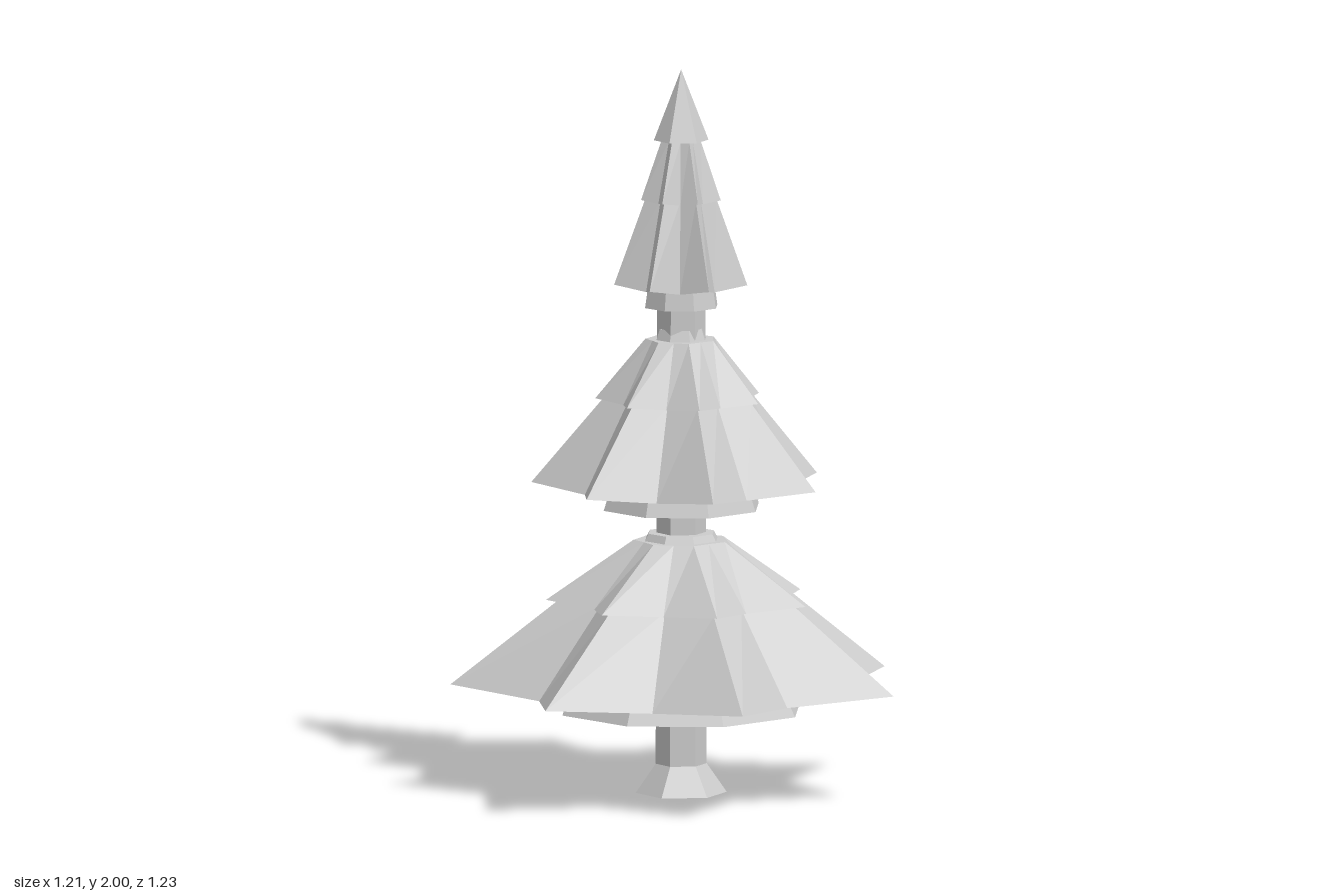
import * as THREE from 'three';

const POINTS = 7;

// Ring of alternating tips and valleys
function starRing(tipR, tipY, valleyR, valleyY, phase) {
  return Array.from({ length: POINTS * 2 }, (_, i) => {
    const a = phase + (i * Math.PI) / POINTS;
    const r = i % 2 ? valleyR : tipR;
    return [r * Math.cos(a), i % 2 ? valleyY : tipY, r * Math.sin(a)];
  });
}

// Closed star-shaped skirt between an upper and a lower ring
function skirtGeometry(upper, lower) {
  const pos = [];
  const n = upper.length;
  const top = [0, upper[0][1], 0];
  const bottom = [0, lower[1][1] + 0.005, 0];
  for (let i = 0; i < n; i++) {
    const j = (i + 1) % n;
    const [u, v, l, m] = [upper[i], upper[j], lower[i], lower[j]];
    pos.push(...l, ...u, ...m, ...u, ...v, ...m);
    pos.push(...top, ...v, ...u, ...bottom, ...l, ...m);
  }
  const g = new THREE.BufferGeometry();
  g.setAttribute('position', new THREE.Float32BufferAttribute(pos, 3));
  g.computeVertexNormals();
  return g;
}

export function createModel() {
  const grey = new THREE.MeshStandardMaterial({ color: 0xcccccc, flatShading: true });
  grey.name = 'light grey';
  const model = new THREE.Group();
  model.name = 'tree';
  const tree = new THREE.Group();
  tree.position.x = -0.03;
  model.add(tree);

  const add = (name, geometry, parent = tree) => {
    const mesh = new THREE.Mesh(geometry, grey);
    mesh.name = name;
    parent.add(mesh);
  };
  const frustum = (r0, y0, r1, y1, sides) =>
    new THREE.CylinderGeometry(r1, r0, y1 - y0, sides).translate(0, (y0 + y1) / 2, 0);

  // Trunk with flared foot
  add('trunkFoot', frustum(0.125, 0, 0.07, 0.08, 6));
  add('trunk', frustum(0.07, 0.08, 0.066, 1.42, 6));

  // Three branch sections; rings are [tip radius, tip y, valley radius, valley y]
  const sections = [
    {
      name: 'lowerBranches', phase: -0.04, core: [0.345, 0.23, 0.095, 0.72],
      rings: [[0.13, 0.7, 0.115, 0.7], [0.37, 0.535, 0.27, 0.525],
        [0.335, 0.535, 0.25, 0.535], [0.632, 0.303, 0.441, 0.284]],
    },
    {
      name: 'middleBranches', phase: 0.015, core: [0.225, 0.79, 0.062, 1.285],
      rings: [[0.098, 1.255, 0.087, 1.255], [0.235, 1.09, 0.175, 1.083],
        [0.212, 1.092, 0.16, 1.092], [0.41, 0.858, 0.291, 0.842]],
    },
    {
      name: 'upperBranches', phase: -0.19, core: [0.105, 1.345, 0.035, 1.81],
      rings: [[0.055, 1.805, 0.042, 1.805], [0.112, 1.642, 0.078, 1.635],
        [0.1, 1.645, 0.07, 1.645], [0.187, 1.41, 0.12, 1.395]],
    },
  ];
  for (const { name, phase, core, rings } of sections) {
    const section = new THREE.Group();
    section.name = name;
    tree.add(section);
    const [a, b, c, d] = rings.map((r) => starRing(...r, phase));
    add('innerCone', frustum(...core, 8), section);
    add('upperSkirt', skirtGeometry(a, b), section);
    add('lowerSkirt', skirtGeometry(c, d), section);
  }

  // Pointed crown
  add('crown', new THREE.ConeGeometry(0.075, 0.195, 6).translate(0, 1.9025, 0));
  return model;
}
